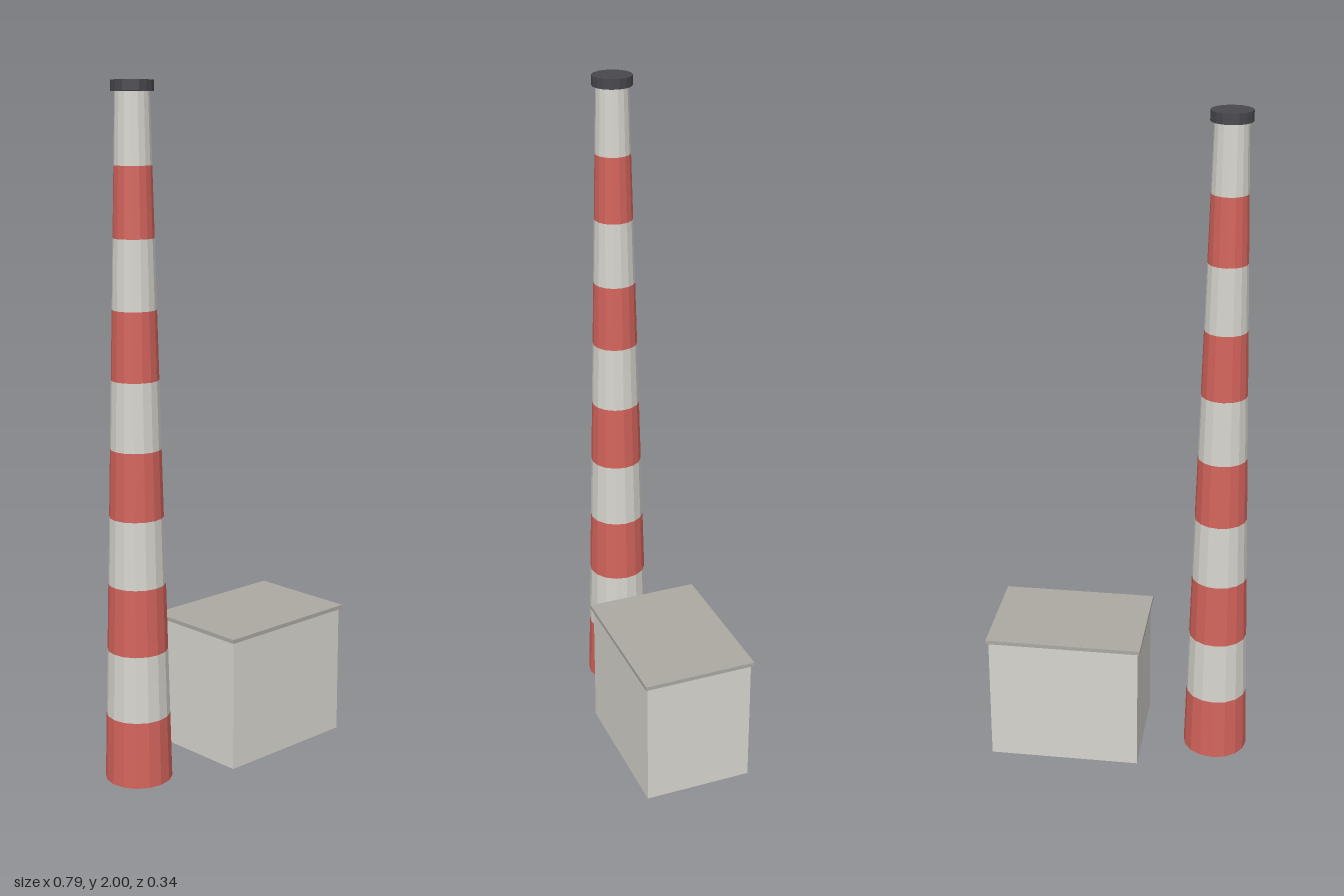
import * as THREE from 'three';

const mat = (name, color) => {
  const m = new THREE.MeshStandardMaterial({ color, flatShading: true });
  m.name = name;
  return m;
};

export function createModel() {
  const model = new THREE.Group();
  model.name = 'chimneyAndBuilding';

  const red = mat('red paint', 0xd4645c);
  const pale = mat('pale concrete', 0xd7d5ce);
  const roofGrey = mat('roof grey', 0xaca9a2);
  const dark = mat('dark metal', 0x48484d);

  const add = (parent, name, geometry, material, x, y) => {
    const mesh = new THREE.Mesh(geometry, material);
    mesh.name = name;
    mesh.position.set(x, y, 0);
    parent.add(mesh);
  };

  // Tapered chimney of alternating painted bands
  const chimney = new THREE.Group();
  chimney.name = 'chimney';
  chimney.position.x = -0.298;
  model.add(chimney);

  const sides = 16, bands = 10, bandHeight = 0.197;
  const radiusAt = (i) => THREE.MathUtils.lerp(0.098, 0.048, i / bands);
  for (let i = 0; i < bands; i++) {
    const geometry = new THREE.CylinderGeometry(radiusAt(i + 1), radiusAt(i), bandHeight, sides, 1, i > 0);
    add(chimney, `band${i + 1}`, geometry, i % 2 ? pale : red, 0, (i + 0.5) * bandHeight);
  }

  // Wider rim closing the top
  add(chimney, 'rim', new THREE.CylinderGeometry(0.059, 0.059, 0.03, sides), dark, 0, 1.985);

  // Plain building with a thin overhanging roof slab
  const building = new THREE.Group();
  building.name = 'building';
  building.position.x = 0.158;
  model.add(building);
  add(building, 'walls', new THREE.BoxGeometry(0.457, 0.395, 0.327), pale, 0, 0.1975);
  add(building, 'roof', new THREE.BoxGeometry(0.472, 0.012, 0.342), roofGrey, 0, 0.401);

  return model;
}
